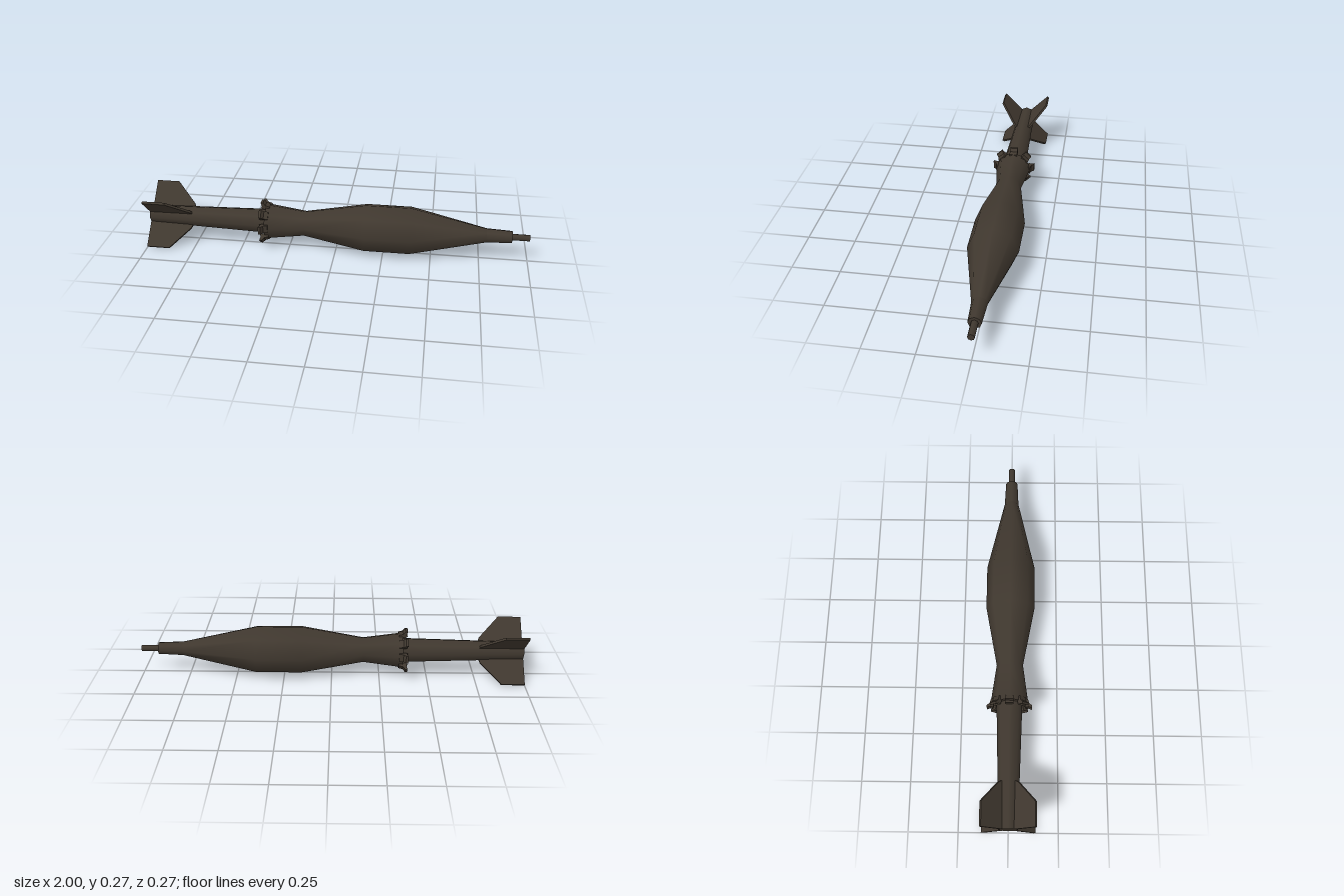
import * as THREE from 'three';

const AXIS_Y = 0.1365;

export function createModel() {
  const model = new THREE.Group();
  model.name = 'finnedDart';
  const brown = new THREE.MeshStandardMaterial({ color: 0x40382f });
  brown.name = 'darkBrown';

  const add = (name, geometry, parent = model) => {
    const mesh = new THREE.Mesh(geometry, brown);
    mesh.name = name;
    parent.add(mesh);
    return mesh;
  };

  // Turned part along x; profile is [x, radius] from back to front
  const turned = (name, profile, sides = 8) => {
    const points = profile.map(([x, r]) => new THREE.Vector2(r, x));
    const mesh = add(name, new THREE.LatheGeometry(points, sides).rotateZ(-Math.PI / 2));
    mesh.position.y = AXIS_Y;
  };

  // Plate drawn in the (x, radius) plane, centred on its thickness
  const plate = (outline, thickness) => {
    const shape = new THREE.Shape(outline.map(([x, r]) => new THREE.Vector2(x, r)));
    return new THREE.ExtrudeGeometry(shape, { depth: thickness, bevelEnabled: false })
      .translate(0, 0, -thickness / 2);
  };

  // Copies of one plate around the axis
  const ring = (name, geometry, count, offset) => {
    const group = new THREE.Group();
    group.name = name + 's';
    group.position.y = AXIS_Y;
    for (let i = 0; i < count; i++) {
      add(name, geometry, group).rotation.x = offset + (i * Math.PI * 2) / count;
    }
    model.add(group);
  };

  // Body, nose and tip
  turned('body', [[-0.37, 0.095], [-0.34, 0.092], [-0.165, 0.068], [0.155, 0.128],
    [0.39, 0.128], [0.78, 0.038]]);
  turned('bodyBackFace', [[-0.37, 0.04], [-0.37, 0.095]]);
  turned('nose', [[0.78, 0.038], [0.91, 0.032]]);
  turned('noseFace', [[0.91, 0.032], [0.91, 0]]);
  turned('tip', [[0.9, 0.017], [1, 0.017]]);
  turned('tipFace', [[1, 0.017], [1, 0]]);

  // Tapered tail tube
  turned('tailTube', [[-1, 0.049], [-0.78, 0.054], [-0.36, 0.066]]);
  turned('tailFace', [[-1, 0], [-1, 0.049]]);

  // Flared teeth around the back of the body
  ring('collarTooth', plate([[-0.35, 0.08], [-0.35, 0.094], [-0.372, 0.1], [-0.384, 0.115],
    [-0.396, 0.115], [-0.39, 0.096], [-0.395, 0.085], [-0.38, 0.078]], 0.042), 8, 0);

  // Four tail fins
  ring('fin', plate([[-1, 0.03], [-0.76, 0.03], [-0.775, 0.07], [-0.88, 0.187], [-1, 0.187]],
    0.012), 4, Math.PI / 4);

  return model;
}
